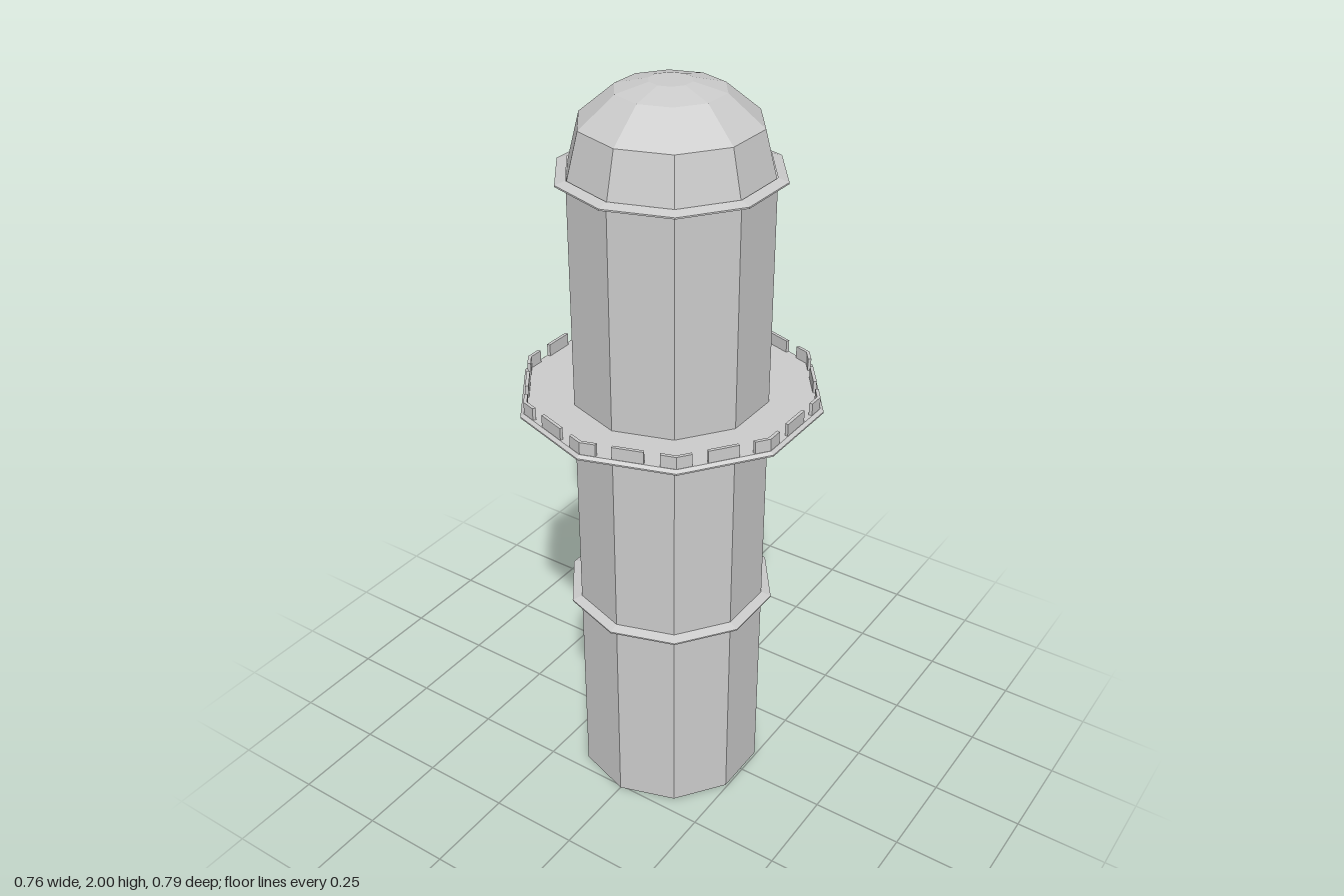
import * as THREE from 'three';

const SIDES = 10;

export function createModel() {
  const group = new THREE.Group();
  const mat = new THREE.MeshStandardMaterial({
    color: 0xcccccc, flatShading: true, side: THREE.DoubleSide,
  });
  const add = (name, geometry, parent = group) => {
    const mesh = new THREE.Mesh(geometry, mat);
    mesh.name = name;
    parent.add(mesh);
    return mesh;
  };
  // Ten-sided surface of revolution from [radius, height] pairs
  const turned = (name, profile) => add(name, new THREE.LatheGeometry(
    profile.map(([r, y]) => new THREE.Vector2(r, y)), SIDES));

  // Hollow shaft, open at the foot
  turned('shaft', [[0.257, 0], [0.257, 1.78]]);

  // Faceted dome with a small flat top
  turned('dome', [[0.257, 1.78], [0.225, 1.905], [0.135, 1.98], [0.053, 2], [0, 2]]);

  // Thin bands with a sharp outer edge
  for (const [name, y] of [['lowerBand', 0.587], ['upperBand', 1.782]]) {
    turned(name, [[0.257, y - 0.01], [0.284, y - 0.002], [0.284, y + 0.002], [0.257, y + 0.01]]);
  }

  // Gallery floor with a bevelled rim
  turned('gallery', [
    [0.257, 1.18], [0.384, 1.18], [0.397, 1.187], [0.397, 1.191], [0.388, 1.198], [0.257, 1.198],
  ]);

  // Parapet blocks: one wrapped around each corner, one in the middle of each side
  const parapet = new THREE.Group();
  parapet.name = 'parapet';
  group.add(parapet);
  const corner = (k, r) => {
    const a = (k / SIDES) * Math.PI * 2;
    return new THREE.Vector2(Math.sin(a) * r, Math.cos(a) * r);
  };
  const onRing = (t, r) => {
    const k = Math.floor(t);
    return corner(k, r).lerp(corner(k + 1, r), t - k);
  };
  const block = (name, ts) => {
    const outline = [
      ...ts.map((t) => onRing(t, 0.387)),
      ...[...ts].reverse().map((t) => onRing(t, 0.378)),
    ];
    const geo = new THREE.ExtrudeGeometry(new THREE.Shape(outline), {
      depth: 0.034, bevelEnabled: false,
    });
    geo.rotateX(-Math.PI / 2).translate(0, 1.197, 0);
    add(name, geo, parapet);
  };
  for (let k = 0; k < SIDES; k++) {
    block('cornerBlock', [k - 1 / 6, k, k + 1 / 6]);
    block('sideBlock', [k + 1 / 3, k + 2 / 3]);
  }

  return group;
}
